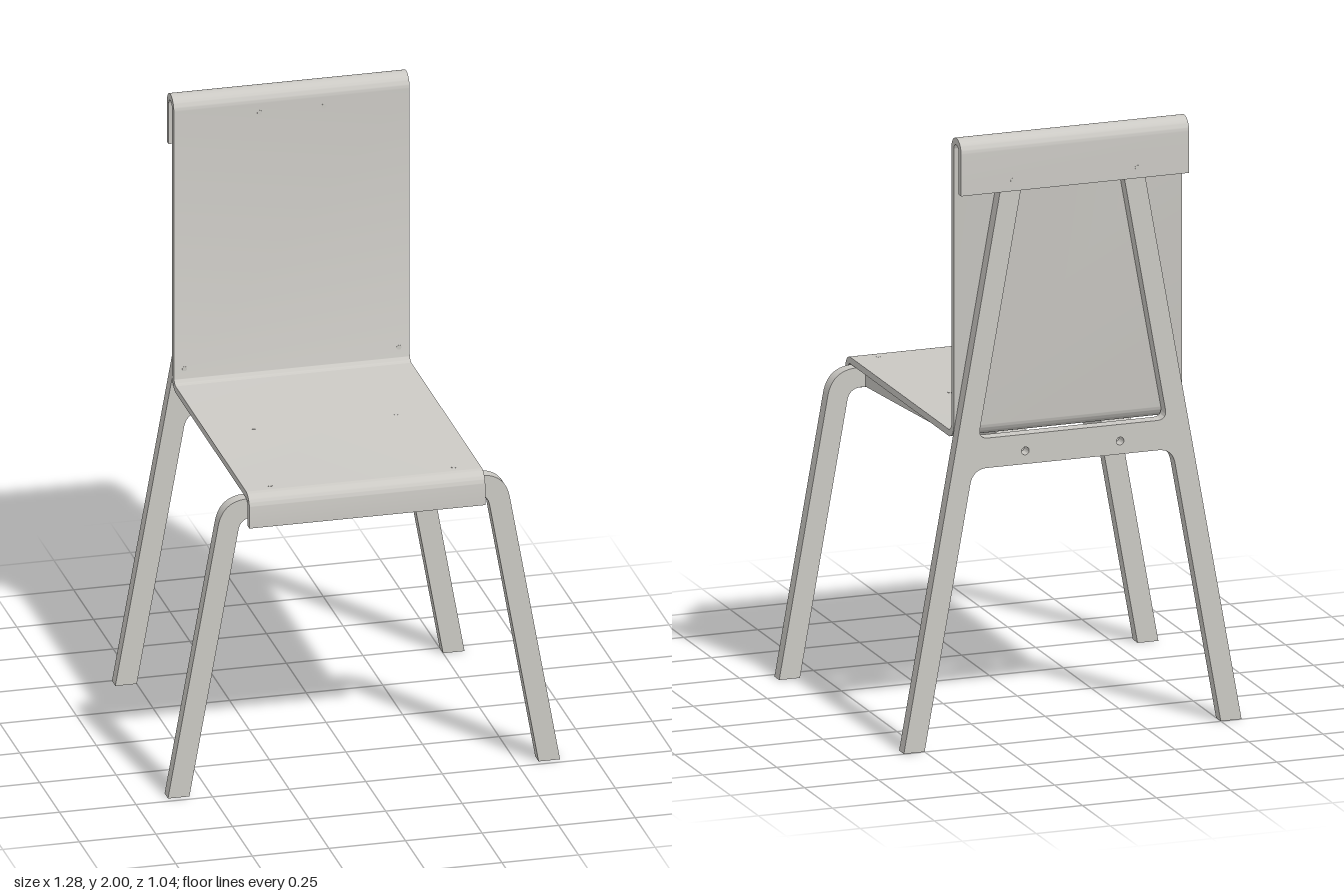
import * as THREE from 'three';
import { toCreasedNormals } from 'three/addons/utils/BufferGeometryUtils.js';

const PI = Math.PI;

// Closed outline from [x, y, cornerSize] points, with softened corners.
function outline(points, Type = THREE.Shape) {
  const path = new Type();
  const n = points.length;
  const toward = (a, b, d) => {
    const len = Math.hypot(b[0] - a[0], b[1] - a[1]);
    return [a[0] + ((b[0] - a[0]) * d) / len, a[1] + ((b[1] - a[1]) * d) / len];
  };
  points.forEach((p, i) => {
    const r = p[2] || 0;
    const a = toward(p, points[(i + n - 1) % n], r);
    const b = toward(p, points[(i + 1) % n], r);
    if (i === 0) path.moveTo(...a);
    else path.lineTo(...a);
    if (r) path.quadraticCurveTo(p[0], p[1], ...b);
  });
  path.closePath();
  return path;
}

// Adds the mirrored half of a left-right symmetric outline.
const mirrored = (half) => [...half, ...half.map(([x, y, r]) => [-x, y, r]).reverse()];

function extrude(shape, depth) {
  const geo = new THREE.ExtrudeGeometry(shape, { depth, bevelEnabled: false, curveSegments: 14 });
  return toCreasedNormals(geo, 0.5);
}

export function createModel() {
  const group = new THREE.Group();
  const paint = new THREE.MeshStandardMaterial({ color: 0xcbc9c4 });
  paint.name = 'warmGrey';

  const add = (name, geo) => {
    const mesh = new THREE.Mesh(geo, paint);
    mesh.name = name;
    group.add(mesh);
    return mesh;
  };

  // Bent sheet: front lip, seat, backrest and rear hook (shape x = model z)
  const s = new THREE.Shape();
  s.moveTo(0.498, 0.915);
  s.lineTo(0.52, 0.915);
  s.absarc(0.475, 0.98, 0.045, 0, PI / 2, false);
  s.absarc(-0.407, 1.05, 0.025, -PI / 2, -PI, true);
  s.absarc(-0.476, 1.956, 0.044, 0, PI, false);
  s.lineTo(-0.52, 1.82);
  s.lineTo(-0.498, 1.82);
  s.absarc(-0.476, 1.956, 0.022, PI, 0, true);
  s.absarc(-0.407, 1.05, 0.047, PI, 1.5 * PI, false);
  s.absarc(0.475, 0.98, 0.023, PI / 2, 0, true);
  s.closePath();
  add('seatAndBackSheet', extrude(s, 0.77).rotateY(-PI / 2).translate(0.385, 0, 0));

  // Front legs joined by a bar under the seat
  const front = outline([
    ...mirrored([[0.64, 0], [0.461, 1, 0.085]].slice()),
    ...mirrored([[0.57, 0], [0.403, 0.935, 0.04]]).reverse(),
  ]);
  add('frontLegFrame', extrude(front, 0.043).translate(0, 0, 0.435));

  // Back legs rising into a tapered frame behind the backrest
  const back = outline([
    ...mirrored([[0.57, 0], [0.22, 1.955]]),
    ...mirrored([[0.5, 0], [0.337, 0.912, 0.05]]).reverse(),
  ]);
  back.holes.push(outline(mirrored([[0.319, 1.01, 0.035], [0.165, 1.87, 0.03]]), THREE.Path));
  for (const x of [-0.16, 0.16]) {
    back.holes.push(new THREE.Path().absarc(x, 0.955, 0.013, 0, 2 * PI, true));
  }
  add('backLegFrame', extrude(back, 0.043).translate(0, 0, -0.498));

  // Tapered rails under the seat, closer together at the back
  for (const side of [-1, 1]) {
    const geo = new THREE.BoxGeometry(0.1, 1, 1);
    const pos = geo.attributes.position;
    for (let i = 0; i < pos.count; i++) {
      const t = pos.getZ(i) + 0.5;
      const y = pos.getY(i) > 0 ? 1 : 0.912 + 0.023 * t;
      pos.setXYZ(i, pos.getX(i) + side * (0.172 + 0.126 * t), y, -0.455 + 0.89 * t);
    }
    geo.computeVertexNormals();
    add(side > 0 ? 'leftSeatRail' : 'rightSeatRail', geo);
  }

  // Small round fixings on the seat, backrest and hook
  const fixing = (name, x, y, z, tilt) => {
    for (const side of [-1, 1]) {
      const mesh = add(name, new THREE.CylinderGeometry(0.008, 0.008, 0.004, 16));
      mesh.position.set(side * x, y, z);
      mesh.rotation.x = tilt;
    }
  };
  fixing('seatFixing', 0.3, 1.024, 0.45, 0);
  fixing('seatFixing', 0.232, 1.024, -0.015, 0);
  fixing('backrestFixing', 0.35, 1.073, -0.433, PI / 2);
  fixing('backrestFixing', 0.105, 1.925, -0.433, PI / 2);
  fixing('hookFixing', 0.21, 1.855, -0.519, PI / 2);

  return group;
}
